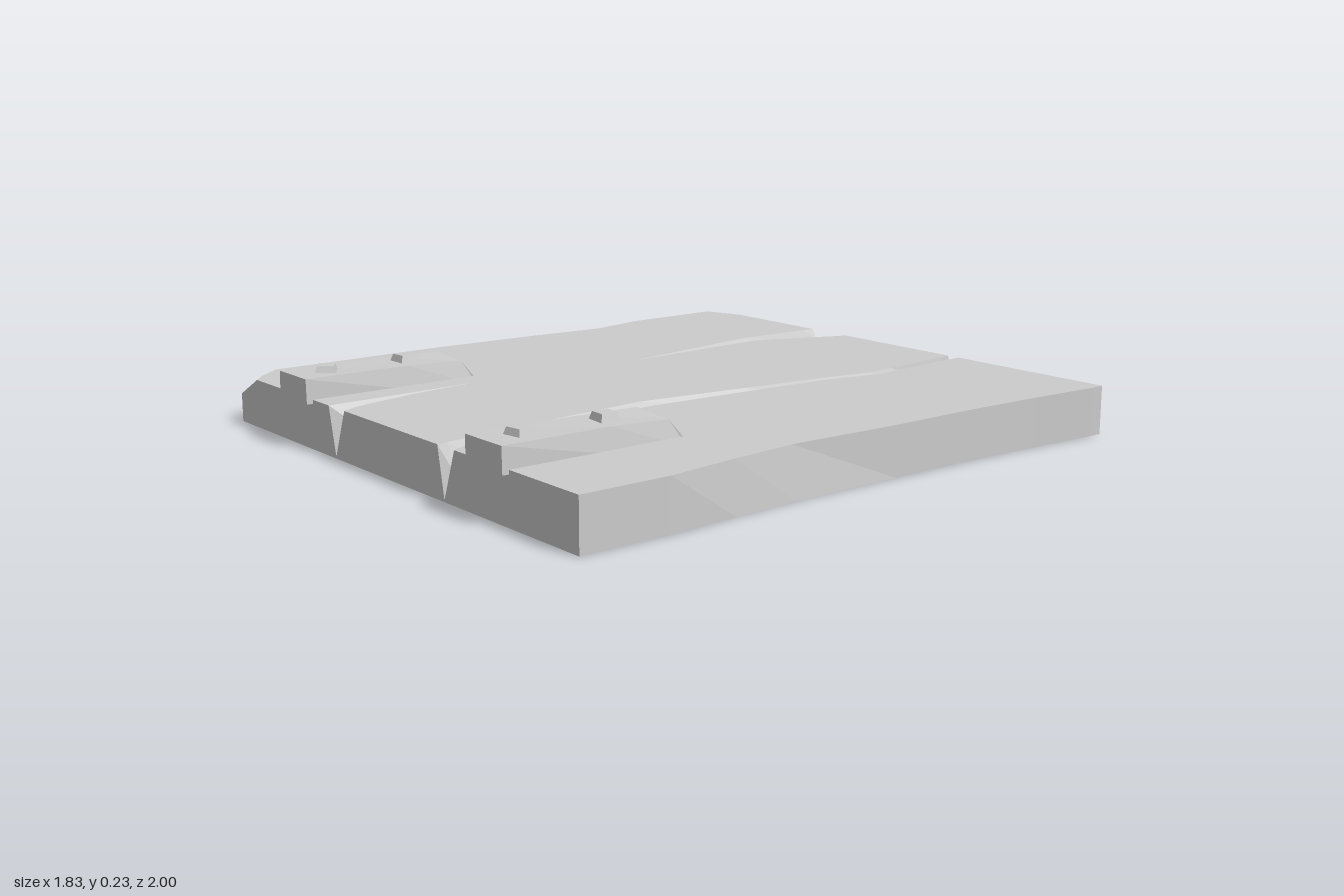
import * as THREE from 'three';

const material = new THREE.MeshStandardMaterial({ color: 0xcccccc, flatShading: true });
const TOP = 0.152;

// Skins a row of equal-length closed rings (counter-clockwise seen from +z) and caps both ends.
function loft(rings) {
  const pos = [];
  const tri = (a, b, c) => {
    const area = new THREE.Vector3().crossVectors(b.clone().sub(a), c.clone().sub(a)).length();
    if (area > 1e-8) for (const p of [a, b, c]) pos.push(p.x, p.y, p.z);
  };
  const n = rings[0].length;
  for (let s = 0; s < rings.length - 1; s++) {
    const back = rings[s], front = rings[s + 1];
    for (let i = 0; i < n; i++) {
      const j = (i + 1) % n;
      tri(back[i], back[j], front[j]);
      tri(back[i], front[j], front[i]);
    }
  }
  const cap = (ring, flip) => {
    // drop repeated corners before triangulating
    const pts = ring.filter((p, i) => p.distanceTo(ring[(i + 1) % n]) > 1e-5);
    const flat = pts.map((p) => new THREE.Vector2(p.x, p.y));
    for (const [a, b, c] of THREE.ShapeUtils.triangulateShape(flat, [])) {
      if (flip) tri(pts[c], pts[b], pts[a]);
      else tri(pts[a], pts[b], pts[c]);
    }
  };
  cap(rings[0], true);
  cap(rings[rings.length - 1], false);
  const g = new THREE.BufferGeometry();
  g.setAttribute('position', new THREE.Float32BufferAttribute(pos, 3));
  g.computeVertexNormals();
  return g;
}

// Cross-sections of the slab from back to front:
// z, bottom left, top left, cracks as [left, floor, right, floor height], top right, bottom right, chipped corner height
const sections = [
  [-1.0, -0.905, -0.77, [-0.37, -0.28, -0.2, 0.005], [0.285, 0.305, 0.33, 0.005], 0.91, 0.91, 0.085],
  [-0.955, -0.905, -0.905, [-0.373, -0.285, -0.215, 0.125], [0.29, 0.31, 0.332, 0.06]],
  [-0.7, -0.905, -0.905, [-0.385, -0.335, -0.325, 0.13], [0.313, 0.346, 0.35, 0.09], 0.893, 0.893],
  [-0.6, -0.905, -0.905, [-0.375, -0.332, -0.325, 0.134], [0.32, 0.352, 0.356, 0.09], 0.888, 0.888],
  [-0.4, -0.9, -0.865, [-0.345, -0.32, -0.316, 0.14], [0.285, 0.31, 0.315, 0.1], 0.88, 0.88],
  [-0.13, -0.895, -0.89, [-0.305, -0.305, -0.305, TOP], [0.25, 0.288, 0.293, 0.1], 0.88, 0.88],
  [0.25, -0.915, -0.91, [-0.32, -0.32, -0.32, TOP], [0.2, 0.262, 0.267, 0.1], 0.862, 0.88],
  [0.47, -0.908, -0.908, [-0.335, -0.335, -0.335, TOP], [0.22, 0.268, 0.275, 0.1], 0.882, 0.893],
  [0.7, -0.905, -0.905, [-0.328, -0.316, -0.308, 0.135], [0.242, 0.28, 0.288, 0.1]],
  [0.86, -0.905, -0.905, [-0.325, -0.303, -0.275, 0.125], [0.262, 0.298, 0.325, 0.09]],
  [0.945, -0.905, -0.833, [-0.324, -0.297, -0.25, 0.12], [0.272, 0.308, 0.34, 0.07], 0.91, 0.91, 0.11],
  [0.98, -0.905, -0.79, [-0.323, -0.288, -0.23, 0.005], [0.277, 0.306, 0.36, 0.005], 0.91, 0.91, 0.09],
];

function slabRing([z, bottomL, topL, crackA, crackB, topR = 0.91, bottomR = 0.91, chip]) {
  const v = (x, y) => new THREE.Vector3(x, y, z);
  const ring = [v(bottomL, 0), v(bottomR, 0), v(topR, TOP)];
  for (const [l, floor, r, h] of [crackB, crackA]) ring.push(v(r, TOP), v(floor, h), v(l, TOP));
  ring.push(v(topL, TOP), chip ? v(bottomL, chip) : v(topL, TOP));
  return ring;
}

// Iron strap: a tapered bar with a sloping rear end
function strapGeometry(half) {
  const ring = (z, wBottom, wTop, yL, yR) => [
    new THREE.Vector3(-wBottom, 0.14, z), new THREE.Vector3(wBottom, 0.14, z),
    new THREE.Vector3(wTop, yR, z), new THREE.Vector3(-wTop, yL, z),
  ];
  return loft([
    ring(0.42, half, half, TOP, TOP),
    ring(0.458, half, half - 0.015, 0.212, 0.203),
    ring(0.65, half, half - 0.012, 0.215, 0.212),
    ring(1.0, half, half - 0.002, 0.216, 0.216),
  ]);
}

function addMesh(parent, name, geometry) {
  const mesh = new THREE.Mesh(geometry, material);
  mesh.name = name;
  parent.add(mesh);
  return mesh;
}

export function createModel() {
  const model = new THREE.Group();
  model.name = 'crackedSlab';
  addMesh(model, 'slab', loft(sections.map(slabRing)));

  // Two straps at the front, each with two square studs: [z, turn]
  const straps = [
    ['rightStrap', -0.505, [[0.62, 0.08], [0.89, -0.58]]],
    ['leftStrap', 0.531, [[0.62, -0.07], [0.89, 0.16]]],
  ];
  for (const [name, x, studs] of straps) {
    const strap = new THREE.Group();
    strap.name = name;
    strap.position.x = x;
    addMesh(strap, 'bar', strapGeometry(0.085));
    for (const [z, turn] of studs) {
      const stud = addMesh(strap, 'stud', new THREE.CylinderGeometry(0.035, 0.047, 0.028, 4));
      stud.position.set(0.003, 0.221, z);
      stud.rotation.y = Math.PI / 4 + turn;
    }
    model.add(strap);
  }
  return model;
}
